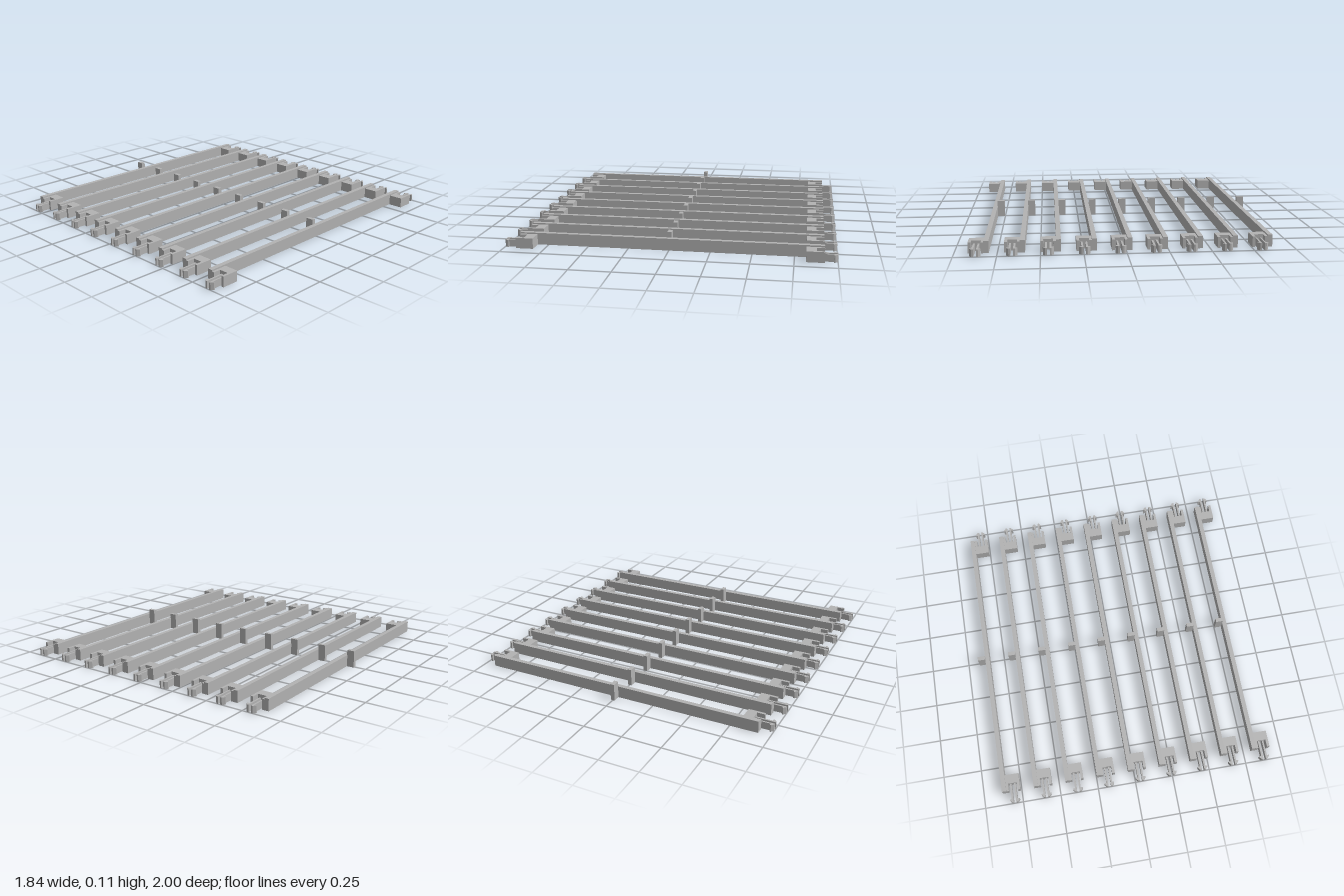
import * as THREE from 'three';

const COUNT = 9;
const SPACING = 0.2093;

const grey = new THREE.MeshStandardMaterial({ color: 0xb2b2b2 });
grey.name = 'plain grey';

function add(group, name, geometry) {
  const mesh = new THREE.Mesh(geometry, grey);
  mesh.name = name;
  group.add(mesh);
}

// Box given by its limits on each axis
function box(x0, x1, y0, y1, z0, z1) {
  return new THREE.BoxGeometry(x1 - x0, y1 - y0, z1 - z0)
    .translate((x0 + x1) / 2, (y0 + y1) / 2, (z0 + z1) / 2);
}

// Plan outline of [x, z] points raised from the ground to a height
function plate(points, height) {
  const shape = new THREE.Shape(points.map(([x, z]) => new THREE.Vector2(x, z)));
  return new THREE.ExtrudeGeometry(shape, { depth: height, bevelEnabled: false })
    .rotateX(Math.PI / 2).translate(0, height, 0);
}

// U-shaped bracket with two barbed snap prongs; end is 1 (front) or -1 (back)
function createClip(end) {
  const clip = new THREE.Group();
  const flip = (points, side = 1) => points.map(([x, z]) => [x * side, z * end]);
  add(clip, 'bracket', plate(flip([
    [-0.046, 0.818], [0.046, 0.818], [0.046, 0.925], [0.029, 0.925],
    [0.029, 0.877], [-0.029, 0.877], [-0.029, 0.925], [-0.046, 0.925],
  ]), 0.065));
  for (const side of [-1, 1]) {
    add(clip, 'snapProng', plate(flip([
      [0.008, 0.87], [0.019, 0.87], [0.019, 0.977], [0.032, 0.977],
      [0.032, 0.984], [0.019, 1], [0.008, 1],
    ], side), 0.045));
  }
  return clip;
}

// One slat with a centre tab on its right and a clip at each end
function createSlat() {
  const slat = new THREE.Group();
  add(slat, 'bar', box(-0.875, -0.846, 0, 0.074, -0.925, 0.925));
  add(slat, 'centreTab', box(-0.922, -0.873, 0, 0.108, -0.013, 0.013));
  for (const end of [-1, 1]) {
    const clip = createClip(end);
    clip.name = end > 0 ? 'frontClip' : 'backClip';
    clip.position.x = -0.801;
    slat.add(clip);
  }
  return slat;
}

export function createModel() {
  const model = new THREE.Group();
  model.name = 'slatSet';
  for (let i = 0; i < COUNT; i++) {
    const slat = createSlat();
    slat.name = `slat${i + 1}`;
    slat.position.x = i * SPACING;
    model.add(slat);
  }
  return model;
}
